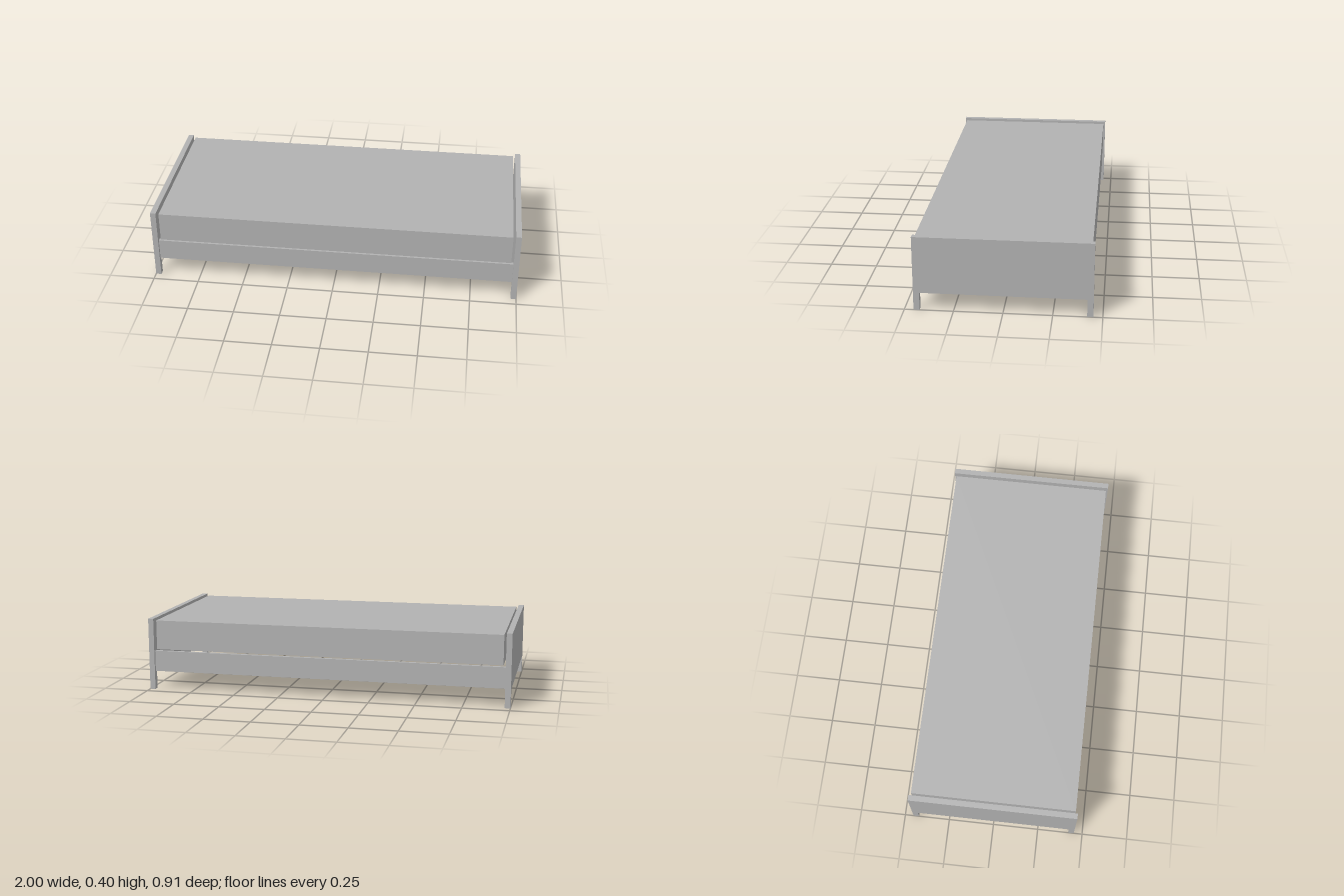
import * as THREE from 'three';

export function createModel() {
  const model = new THREE.Group();
  model.name = 'bed';
  const grey = new THREE.MeshStandardMaterial({ color: 0xb2b2b2 });
  grey.name = 'plain grey';

  function add(name, geometry, x, y, z) {
    const mesh = new THREE.Mesh(geometry, grey);
    mesh.name = name;
    mesh.position.set(x, y, z);
    model.add(mesh);
    return mesh;
  }

  // End board outline: a wide panel standing on two narrow legs
  const w = 0.453, inner = 0.422, top = 0.398, panelBottom = 0.095, thick = 0.03;
  const outline = new THREE.Shape([
    [-w, 0], [-inner, 0], [-inner, panelBottom], [inner, panelBottom],
    [inner, 0], [w, 0], [w, top], [-w, top],
  ].map(([a, b]) => new THREE.Vector2(a, b)));
  const endGeometry = new THREE.ExtrudeGeometry(outline, { depth: thick, bevelEnabled: false });
  endGeometry.translate(0, 0, -thick / 2).rotateY(Math.PI / 2);
  add('leftEndBoard', endGeometry, 1 - thick / 2, 0, 0);
  add('rightEndBoard', endGeometry, -1 + thick / 2, 0, 0);

  // Side rails between the end boards
  const railGeometry = new THREE.BoxGeometry(1.94, 0.115, 0.02);
  add('frontRail', railGeometry, 0, 0.1585, 0.429);
  add('backRail', railGeometry, 0, 0.1585, -0.429);

  // Mattress, with a narrow gap above the rails and at both ends
  add('mattress', new THREE.BoxGeometry(1.914, 0.162, 0.884), 0, 0.307, 0);

  return model;
}
